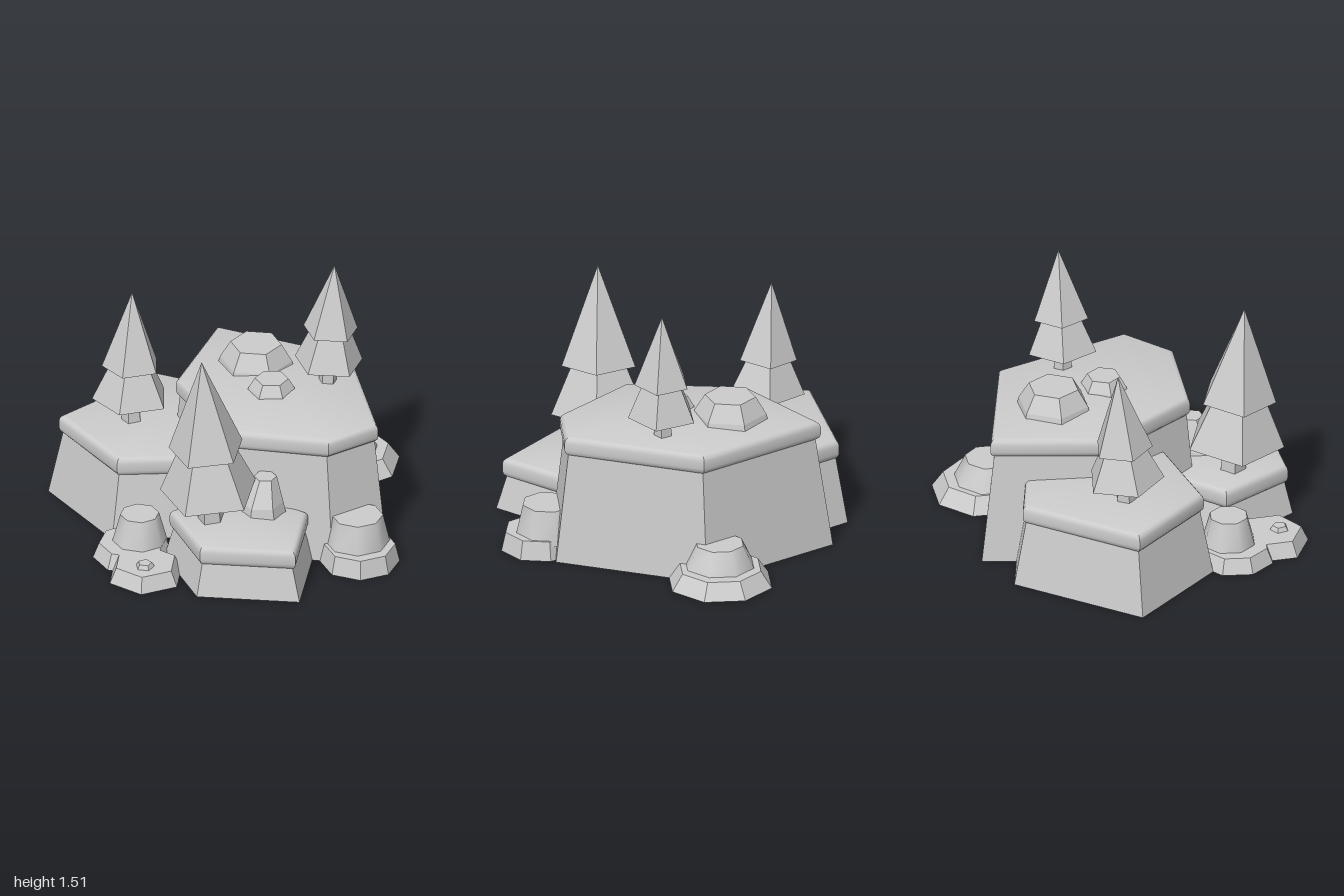
import * as THREE from 'three';
import { toCreasedNormals } from 'three/addons/utils/BufferGeometryUtils.js';

const material = new THREE.MeshStandardMaterial({ color: 0xcccccc });

// Closed solid through a stack of equal-length rings; corners run from +x towards +z
function loft(rings, topCenter, crease = 0.1) {
  const n = rings[0].length, pos = [];
  const tri = (...corners) => corners.forEach((v) => pos.push(v.x, v.y, v.z));
  const mean = (ring) => ring.reduce((s, v) => s.add(v), new THREE.Vector3()).divideScalar(n);
  const bottom = mean(rings[0]), last = rings[rings.length - 1];
  const top = topCenter || mean(last);
  for (let i = 0; i < n; i++) {
    const j = (i + 1) % n;
    tri(bottom, rings[0][i], rings[0][j]);
    for (let k = 0; k + 1 < rings.length; k++) {
      const lo = rings[k], hi = rings[k + 1];
      tri(lo[i], hi[i], lo[j]);
      tri(lo[j], hi[i], hi[j]);
    }
    tri(top, last[j], last[i]);
  }
  const g = new THREE.BufferGeometry();
  g.setAttribute('position', new THREE.Float32BufferAttribute(pos, 3));
  return toCreasedNormals(g, crease);
}

function addMesh(parent, name, geometry) {
  const mesh = new THREE.Mesh(geometry, material);
  mesh.name = name;
  parent.add(mesh);
  return mesh;
}

// Tapered cliff with a rounded overhanging rim and a slightly domed top
function mesa(name, outline, height, dome, wallScale, rimScale) {
  const group = new THREE.Group();
  group.name = name;
  const n = outline.length;
  const cx = outline.reduce((s, p) => s + p[0], 0) / n;
  const cz = outline.reduce((s, p) => s + p[1], 0) / n;
  const ring = (s, y) => outline.map(([x, z]) => new THREE.Vector3(cx + (x - cx) * s, y, cz + (z - cz) * s));
  const low = height - 0.115;
  addMesh(group, 'cliff', loft([ring(1, 0), ring(wallScale, low + 0.02)]));
  const rim = [];
  const bulge = rimScale - wallScale + 0.02;
  for (const [start, y] of [[-90, low + 0.035], [0, height - 0.035]]) {
    for (let k = 0; k <= 3; k++) {
      const a = THREE.MathUtils.degToRad(start + k * 30);
      rim.push(ring(rimScale - bulge + bulge * Math.cos(a), y + 0.035 * Math.sin(a)));
    }
  }
  addMesh(group, 'rim', loft(rim, new THREE.Vector3(cx, dome, cz), 0.6));
  return group;
}

// Regular rings [radius, y, dx, dz] around a centre
function rock(name, x, z, sides, phase, levels, crease = 0.1) {
  const rings = levels.map(([r, y, dx = 0, dz = 0]) => Array.from({ length: sides }, (_, i) => {
    const a = phase + (i / sides) * Math.PI * 2;
    return new THREE.Vector3(x + dx + r * Math.cos(a), y, z + dz + r * Math.sin(a));
  }));
  const mesh = new THREE.Mesh(loft(rings, null, crease), material);
  mesh.name = name;
  return mesh;
}

// Two-tier conifer: trunk, skirt and pointed crown (heights measured from its foot)
function tree(name, foot, phase, skirt, crown, apex, tiltX, tiltZ) {
  const group = new THREE.Group();
  group.name = name;
  const add = (part, levels) => {
    const mesh = rock(part, 0, 0, 5, phase, levels);
    group.add(mesh);
  };
  add('trunk', [[skirt[0] * 0.27, -0.04], [skirt[0] * 0.24, skirt[1] + 0.05]]);
  add('skirt', [skirt, [skirt[0] * 0.55, crown[1] + 0.01]]);
  add('crown', [crown, [0.001, apex]]);
  group.position.set(...foot);
  group.rotation.set(tiltX, 0, tiltZ);
  return group;
}

export function createModel() {
  const model = new THREE.Group();
  model.name = 'forestCliffs';

  // Three stepped plateaus
  model.add(
    mesa('tallMesa', [[0.735, -0.38], [0.62, 0.51], [0.27, 0.61], [-0.27, 0.31], [-0.37, -0.42], [0.07, -0.97]], 0.757, 0.805, 0.89, 0.925),
    mesa('backMesa', [[0.2, -0.6], [-0.02, 0.2], [-0.83, -0.02], [-1, -0.66], [-0.25, -0.99]], 0.495, 0.52, 0.87, 0.91),
    mesa('frontMesa', [[0.18, 0.53], [-0.05, 0.99], [-0.58, 0.75], [-0.61, 0.25], [-0.15, 0.1]], 0.305, 0.34, 0.87, 0.93),
  );

  // Conifers
  model.add(
    tree('rightTree', [0.465, 0.78, -0.075], 0, [0.2, 0.11], [0.16, 0.315], 0.73, 0, -0.055),
    tree('frontTree', [-0.4, 0.32, 0.46], -0.12, [0.285, 0.175], [0.22, 0.46], 1.04, 0.03, 0.065),
    tree('backTree', [-0.575, 0.5, -0.445], -0.31, [0.225, 0.135], [0.17, 0.34], 0.8, -0.055, -0.02),
  );

  // Boulders on the plateaus
  const topRock = rock('topBoulder', 0.145, -0.395, 6, 0.45, [[0.215, 0.76], [0.205, 0.8], [0.145, 0.9]]);
  model.add(
    topRock,
    rock('topPebble', 0.125, -0.05, 6, 0.35, [[0.14, 0.77], [0.13, 0.8], [0.095, 0.86]]),
    rock('frontBoulder', -0.1, 0.46, 6, 0.3, [[0.14, 0.29], [0.12, 0.38, 0, 0], [0.065, 0.52, 0.03, -0.03]]),
  );

  // Footing rocks: low slab with a smoother stump on it
  model.add(
    rock('frontRightSlab', 0.42, 0.645, 8, 0.3, [[0.225, 0], [0.2, 0.11]]),
    rock('frontRightStump', 0.42, 0.6, 8, 0.3, [[0.19, 0.08], [0.145, 0.275]], 0.9),
    rock('backRightSlab', 0.7, -0.45, 8, 0.1, [[0.305, 0], [0.24, 0.095]]),
    rock('backRightStump', 0.67, -0.44, 8, 0.1, [[0.21, 0.08], [0.14, 0.225]], 0.9),
    rock('leftSlab', -0.775, 0.18, 8, 0.2, [[0.225, 0], [0.19, 0.09]]),
    rock('leftStump', -0.73, 0.17, 8, 0.2, [[0.16, 0.07], [0.11, 0.255]], 0.9),
    rock('lowLeftSlab', -0.78, 0.43, 6, 0.95, [[0.22, 0], [0.18, 0.09]]),
    rock('lowLeftPebble', -0.8, 0.48, 5, 0.2, [[0.06, 0.08], [0.04, 0.115]]),
  );
  return model;
}
